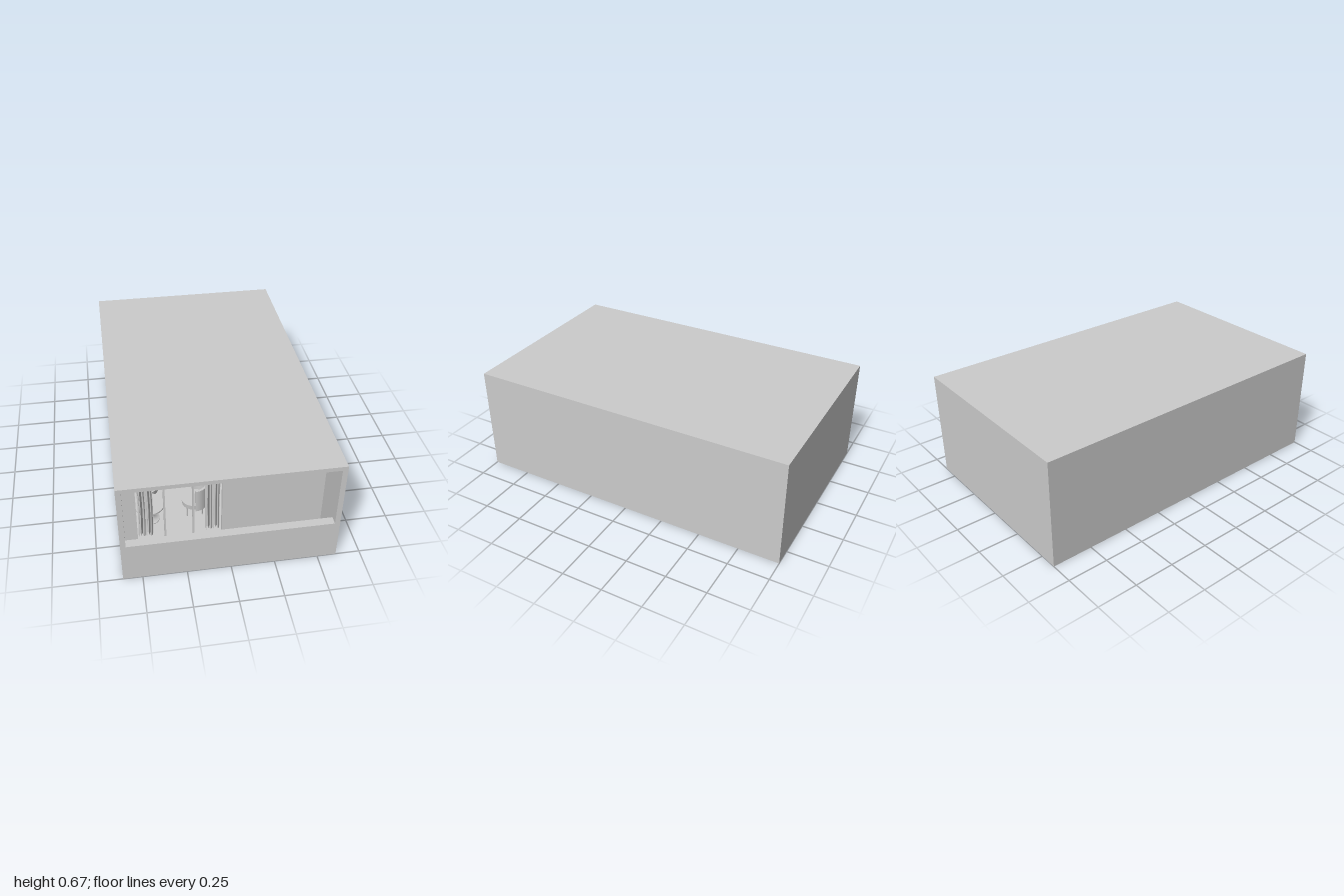
import * as THREE from 'three';
import { RoundedBoxGeometry } from 'three/addons/geometries/RoundedBoxGeometry.js';

const grey = new THREE.MeshStandardMaterial({ color: 0xcccccc });
const thin = new THREE.MeshStandardMaterial({ color: 0xcccccc, side: THREE.DoubleSide });

export function createModel() {
  const model = new THREE.Group();
  const add = (name, geometry, x = 0, y = 0, z = 0, parent = model, material = grey) => {
    const mesh = new THREE.Mesh(geometry, material);
    mesh.name = name;
    mesh.position.set(x, y, z);
    parent.add(mesh);
    return mesh;
  };
  // Box given by its min and max corners
  const box = (name, x0, x1, y0, y1, z0, z1, parent = model) =>
    add(name, new THREE.BoxGeometry(x1 - x0, y1 - y0, z1 - z0),
      (x0 + x1) / 2, (y0 + y1) / 2, (z0 + z1) / 2, parent);
  const soft = (name, w, h, d, x, y, z, parent = model) =>
    add(name, new RoundedBoxGeometry(w, h, d, 3, Math.min(w, h, d) * 0.3), x, y, z, parent);
  const rect = (Type, x0, x1, y0, y1) => new Type([
    new THREE.Vector2(x0, y0), new THREE.Vector2(x1, y0),
    new THREE.Vector2(x1, y1), new THREE.Vector2(x0, y1)]);
  // Rectangular plate with a rectangular hole, extruded along z
  const plate = (name, outer, hole, z0, z1) => {
    const shape = rect(THREE.Shape, ...outer);
    shape.holes.push(rect(THREE.Path, ...hole));
    return add(name, new THREE.ExtrudeGeometry(shape, { depth: z1 - z0, bevelEnabled: false }), 0, 0, z0);
  };

  // Building shell: floor, roof and side walls in one tube, closed at the back
  plate('shell', [-0.61, 0.61, 0, 0.665], [-0.58, 0.58, 0.03, 0.64], -0.97, 1);
  box('backWall', -0.61, 0.61, 0, 0.665, -1, -0.97);
  box('balconyParapet', -0.58, 0.58, 0.03, 0.25, 0.95, 1);

  // Wall behind the balcony with the glazed door opening
  plate('facadeWall', [-0.58, 0.58, 0.03, 0.64], [-0.513, -0.007, 0.031, 0.565], 0.74, 0.77);
  plate('doorFrame', [-0.513, -0.007, 0.031, 0.565], [-0.505, -0.015, 0.04, 0.557], 0.745, 0.772);
  for (const x of [-0.345, -0.18]) box('doorMullion', x - 0.005, x + 0.005, 0.04, 0.557, 0.747, 0.77);

  // Pleated curtains, gathered slightly toward the floor
  const curtain = (name, x0, x1, flare) => {
    const geo = new THREE.PlaneGeometry(1, 1, 80, 10);
    const p = geo.attributes.position;
    for (let i = 0; i < p.count; i++) {
      const u = p.getX(i) + 0.5, v = p.getY(i) + 0.5;
      const sway = flare * Math.sin((1 - v) * 2.6) * 0.012;
      p.setXYZ(i, x0 + (x1 - x0) * u + sway + 0.004 * Math.sin(u * 50), 0.035 + 0.57 * v,
        0.715 + 0.014 * Math.sin(u * 38) + 0.004 * Math.sin(u * 17 + v * 4));
    }
    geo.computeVertexNormals();
    add(name, geo, 0, 0, 0, model, thin);
  };
  curtain('rightCurtain', -0.505, -0.417, 1);
  curtain('leftCurtain', -0.103, -0.015, -0.3);
  const rail = add('curtainRail', new THREE.CylinderGeometry(0.006, 0.006, 0.56, 12), -0.26, 0.607, 0.715);
  rail.rotation.z = Math.PI / 2;

  // Round table with a pedestal
  const table = new THREE.Group();
  table.name = 'roundTable';
  table.position.set(-0.42, 0.03, 0.58);
  model.add(table);
  const profile = [[0, 0], [0.06, 0], [0.06, 0.006], [0.012, 0.014], [0.01, 0.105], [0.085, 0.105], [0.085, 0.115], [0, 0.115]];
  add('tablePedestal', new THREE.LatheGeometry(profile.slice(0, 5).map(q => new THREE.Vector2(...q)), 32), 0, 0, 0, table, thin);
  add('tableTop', new THREE.CylinderGeometry(0.09, 0.09, 0.01, 40), 0, 0.11, 0, table);

  // Tub chairs with a curved back
  const chair = (x, z, turn) => {
    const g = new THREE.Group();
    g.name = 'tubChair';
    g.position.set(x, 0.03, z);
    g.rotation.y = turn;
    model.add(g);
    add('seat', new THREE.CylinderGeometry(0.075, 0.07, 0.035, 32), 0, 0.085, 0, g);
    const arc = new THREE.Shape();
    arc.absarc(0, 0, 0.088, 0, Math.PI, false);
    arc.absarc(0, 0, 0.074, Math.PI, 0, true);
    const back = add('chairBack', new THREE.ExtrudeGeometry(arc,
      { depth: 0.155, bevelEnabled: false, curveSegments: 24 }), 0, 0.07, 0, g);
    back.rotation.x = -Math.PI / 2;
    for (const sx of [-1, 1]) for (const sz of [-1, 1])
      add('chairLeg', new THREE.CylinderGeometry(0.006, 0.004, 0.07, 10), sx * 0.045, 0.035, sz * 0.045, g);
  };
  chair(-0.42, 0.4, 0);
  chair(-0.15, 0.55, -Math.PI / 2);

  // Chest along the right wall with a lamp
  box('chest', -0.575, -0.42, 0.03, 0.17, 0.1, 0.28);
  add('lampBase', new THREE.CylinderGeometry(0.008, 0.025, 0.04, 20), -0.48, 0.19, 0.22);
  add('lampGlobe', new THREE.SphereGeometry(0.032, 24, 16), -0.48, 0.235, 0.22);

  // Bed against the left wall
  box('bedBase', 0.06, 0.56, 0.03, 0.1, -0.3, 0.15);
  soft('mattress', 0.5, 0.06, 0.45, 0.31, 0.125, -0.075);
  box('headboard', 0.555, 0.578, 0.03, 0.27, -0.32, 0.17);
  for (const z of [-0.18, 0.03]) soft('pillow', 0.1, 0.04, 0.17, 0.48, 0.17, z);

  // Panel and low cabinet at the far wall
  box('wallPanel', -0.21, 0.1, 0.29, 0.51, -0.97, -0.95);
  box('lowCabinet', -0.19, 0.1, 0.03, 0.24, -0.97, -0.8);
  return model;
}
